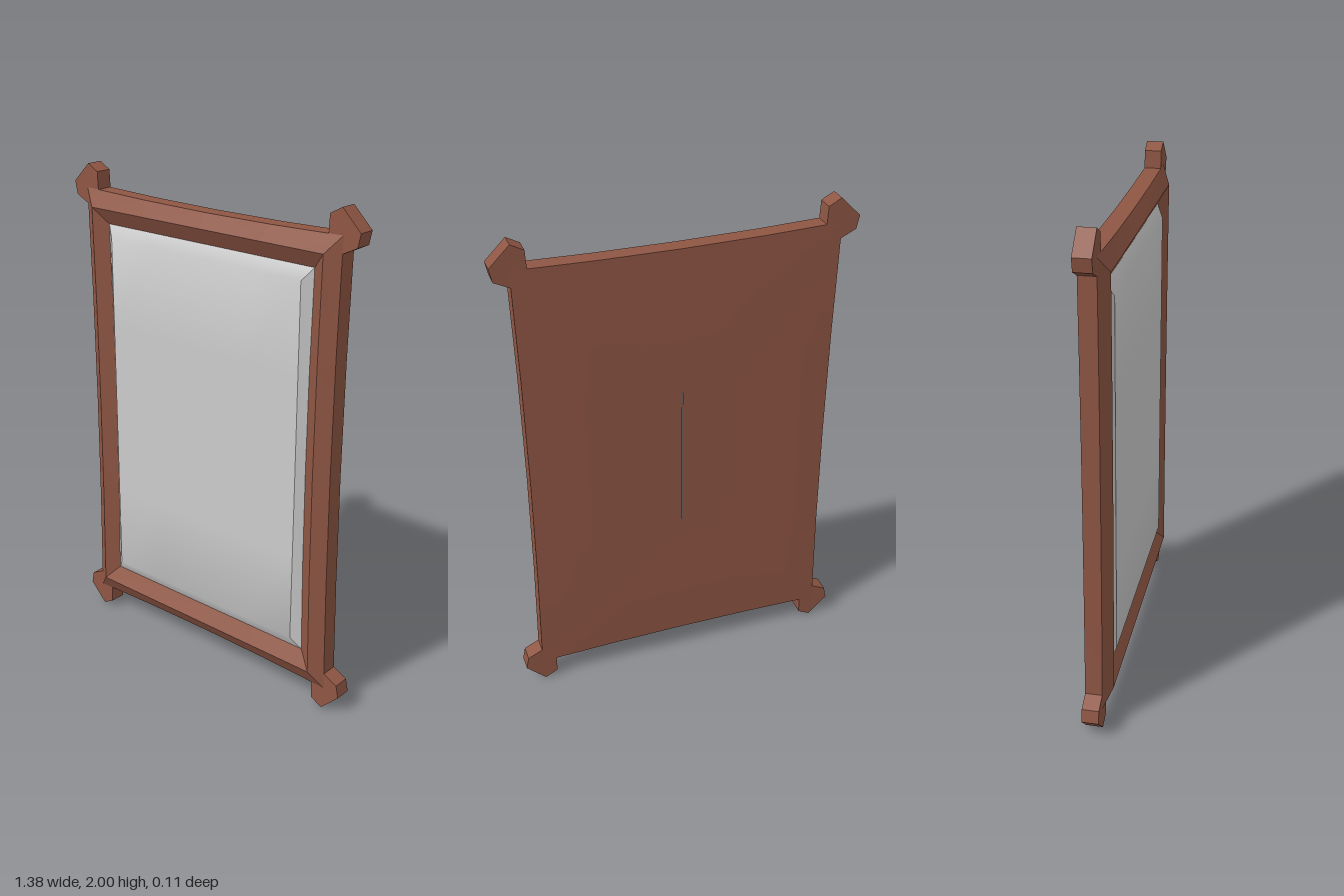
import * as THREE from 'three';
import { mergeGeometries, toCreasedNormals } from 'three/addons/utils/BufferGeometryUtils.js';

const SEG = 4; // segments along each side
const CREASE = THREE.MathUtils.degToRad(30);
const BACK = -0.05, FRONT = 0.017;

// Counter-clockwise rectangular loop whose sides bow inwards by dipX / dipY.
function ring(w, h, z, dipX = 0, dipY = 0) {
  const pts = [];
  for (let side = 0; side < 4; side++) {
    for (let i = 0; i < SEG; i++) {
      const t = -1 + (2 * i) / SEG;
      const bow = 1 - t * t;
      const s = side < 2 ? 1 : -1;
      pts.push(side % 2 === 0
        ? [s * t * w, -s * (h - dipY * bow), z]
        : [s * (w - dipX * bow), s * t * h, z]);
    }
  }
  return pts;
}

// Skin a list of loops, running from back to front and then inwards.
function loft(rings) {
  const pos = [];
  for (let r = 0; r < rings.length - 1; r++) {
    const a = rings[r], b = rings[r + 1], n = a.length;
    for (let i = 0; i < n; i++) {
      const j = (i + 1) % n;
      pos.push(...a[i], ...a[j], ...b[j], ...a[i], ...b[j], ...b[i]);
    }
  }
  const geo = new THREE.BufferGeometry();
  geo.setAttribute('position', new THREE.Float32BufferAttribute(pos, 3));
  return geo;
}

export function createModel() {
  const group = new THREE.Group();
  const wood = new THREE.MeshStandardMaterial({ color: 0x8f5644 });
  const glass = new THREE.MeshStandardMaterial({ color: 0xcccccc });

  const add = (name, geo, material) => {
    const mesh = new THREE.Mesh(geo, material);
    mesh.name = name;
    mesh.position.y = 1;
    group.add(mesh);
  };

  // Frame: slightly domed back, concave outer wall, raised ridge, inner slope
  add('frame', toCreasedNormals(loft([
    ring(0.001, 0.3, -0.055),
    ring(0.45, 0.68, -0.054),
    ring(0.622, 0.905, BACK, 0.012, 0.012),
    ring(0.622, 0.905, FRONT, 0.012, 0.012),
    ring(0.565, 0.838, 0.051, 0.01, 0),
    ring(0.506, 0.774, 0.015, 0.01, 0),
  ]), CREASE), wood);

  // Mirror: bevelled border around a flat raised pane
  const border = loft([
    ring(0.506, 0.774, 0.015, 0.01, 0),
    ring(0.468, 0.725, 0.042),
  ]);
  const pane = new THREE.PlaneGeometry(0.936, 1.45, SEG, SEG).translate(0, 0, 0.042).toNonIndexed();
  pane.deleteAttribute('uv');
  pane.deleteAttribute('normal');
  add('mirrorPane', toCreasedNormals(mergeGeometries([border, pane]), CREASE), glass);

  // Arrow-shaped knobs on the four corners
  const outline = [
    [0.56, 0.84], [0.62, 0.84], [0.681, 0.87], [0.692, 0.922],
    [0.613, 1.0], [0.563, 0.973], [0.56, 0.905],
  ];
  for (const sx of [1, -1]) {
    for (const sy of [1, -1]) {
      const shape = new THREE.Shape(outline.map(([x, y]) => new THREE.Vector2(sx * x, sy * y)));
      const geo = new THREE.ExtrudeGeometry(shape, { depth: FRONT - BACK, bevelEnabled: false });
      geo.translate(0, 0, BACK);
      add(`${sy > 0 ? 'top' : 'bottom'}${sx > 0 ? 'Left' : 'Right'}CornerKnob`, geo, wood);
    }
  }

  return group;
}
